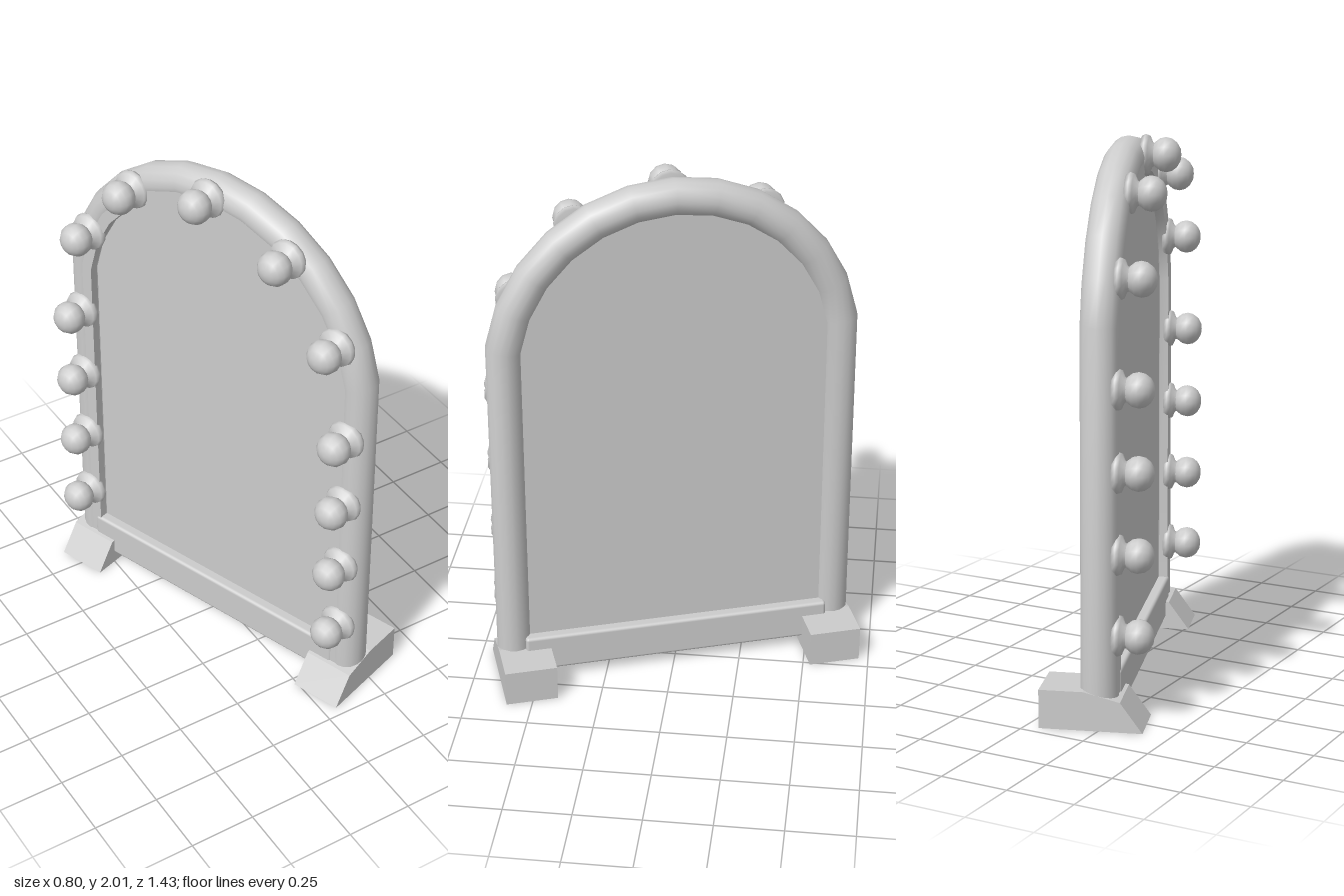
import * as THREE from 'three';
import { toCreasedNormals } from 'three/addons/utils/BufferGeometryUtils.js';
import { RoundedBoxGeometry } from 'three/addons/geometries/RoundedBoxGeometry.js';

const grey = new THREE.MeshStandardMaterial({ color: 0xcccccc });
grey.name = 'plain grey';

const ARCH_Y = 1.307; // height of the arch centre
const BASE_Y = 0.05;  // where the posts end, inside the feet
const SEGMENTS = 12;

// Stations along the arch: angle of the radial direction and height of its centre
const stations = [{ t: 0, y: BASE_Y }];
for (let i = 0; i <= SEGMENTS; i++) {
  stations.push({ t: THREE.MathUtils.degToRad(9 + (162 * i) / SEGMENTS), y: ARCH_Y });
}
stations.push({ t: Math.PI, y: BASE_Y });

const archPoint = (s, r) => [Math.cos(s.t) * r, s.y + Math.sin(s.t) * r];

// Sweep a closed section of [radius, depth] pairs along the arch
function sweepArch(section) {
  const n = section.length, positions = [], index = [];
  stations.forEach((s, i) => {
    section.forEach(([r, z], j) => {
      positions.push(...archPoint(s, r), z);
      if (i === stations.length - 1) return;
      const k = (j + 1) % n;
      const a = i * n + j, b = a + n, c = i * n + k, d = c + n;
      index.push(a, b, c, b, d, c);
    });
  });
  const g = new THREE.BufferGeometry();
  g.setAttribute('position', new THREE.Float32BufferAttribute(positions, 3));
  g.setIndex(index);
  return toCreasedNormals(g, 0.8);
}

export function createModel() {
  const model = new THREE.Group();
  model.name = 'dressingMirror';
  const mirror = new THREE.Group();
  mirror.name = 'mirrorAssembly';
  mirror.rotation.y = THREE.MathUtils.degToRad(-71);
  model.add(mirror);

  const add = (name, geometry, x = 0, y = 0, z = 0) => {
    const mesh = new THREE.Mesh(geometry, grey);
    mesh.name = name;
    mesh.position.set(x, y, z);
    mirror.add(mesh);
    return mesh;
  };

  // Round arched frame
  const round = [];
  for (let i = 0; i < 16; i++) {
    const a = (i / 16) * Math.PI * 2;
    round.push([0.625 + 0.067 * Math.cos(a), 0.022 + 0.068 * Math.sin(a)]);
  }
  add('archedFrame', sweepArch(round));

  // Flat trim around the front of the glass
  add('frontTrim', sweepArch([[0.567, 0.04], [0.61, 0.04], [0.61, 0.087], [0.567, 0.087]]));

  // Glass panel
  const glass = new THREE.Shape(stations.map((s) => new THREE.Vector2(...archPoint(s, 0.605))));
  add('mirrorPanel', new THREE.ExtrudeGeometry(glass, { depth: 0.067, bevelEnabled: false }), 0, 0, -0.015);

  // Bottom rail
  add('bottomRail', new RoundedBoxGeometry(1.18, 0.147, 0.145, 2, 0.012), 0, 0.118, 0.019);

  // Feet, sloped towards the front
  const profile = [[-0.183, 0], [0.183, 0], [0.104, 0.108], [-0.026, 0.14], [-0.183, 0.14]];
  const footShape = new THREE.Shape(profile.map((p) => new THREE.Vector2(...p)));
  const footGeometry = new THREE.ExtrudeGeometry(footShape, { depth: 0.197, bevelEnabled: false });
  footGeometry.rotateY(-Math.PI / 2);
  add('leftFoot', footGeometry, 0.692);
  add('rightFoot', footGeometry, -0.495);

  // Lamps: a flared socket and a slightly flattened bulb
  const socketProfile = [[0, 0.07], [0.066, 0.07], [0.073, 0.084], [0.068, 0.098], [0.045, 0.108], [0.035, 0.13]];
  const socket = new THREE.LatheGeometry(socketProfile.map((p) => new THREE.Vector2(...p)), 14);
  socket.rotateX(Math.PI / 2);
  const bulb = new THREE.SphereGeometry(0.063, 12, 8);
  bulb.scale(1, 0.88, 1);
  bulb.rotateX(Math.PI / 2);
  const addLamp = (x, y) => {
    add('lampSocket', socket, x, y);
    add('lampBulb', bulb, x, y, 0.157);
  };
  const spots = [[0.615, 0.325], [0.615, 0.615], [0.615, 0.905], [0.615, 1.195], [0.56, 1.565], [0.345, 1.83]];
  for (const [x, y] of spots) {
    addLamp(x, y);
    addLamp(-x, y);
  }
  addLamp(0, 1.932);

  return model;
}
